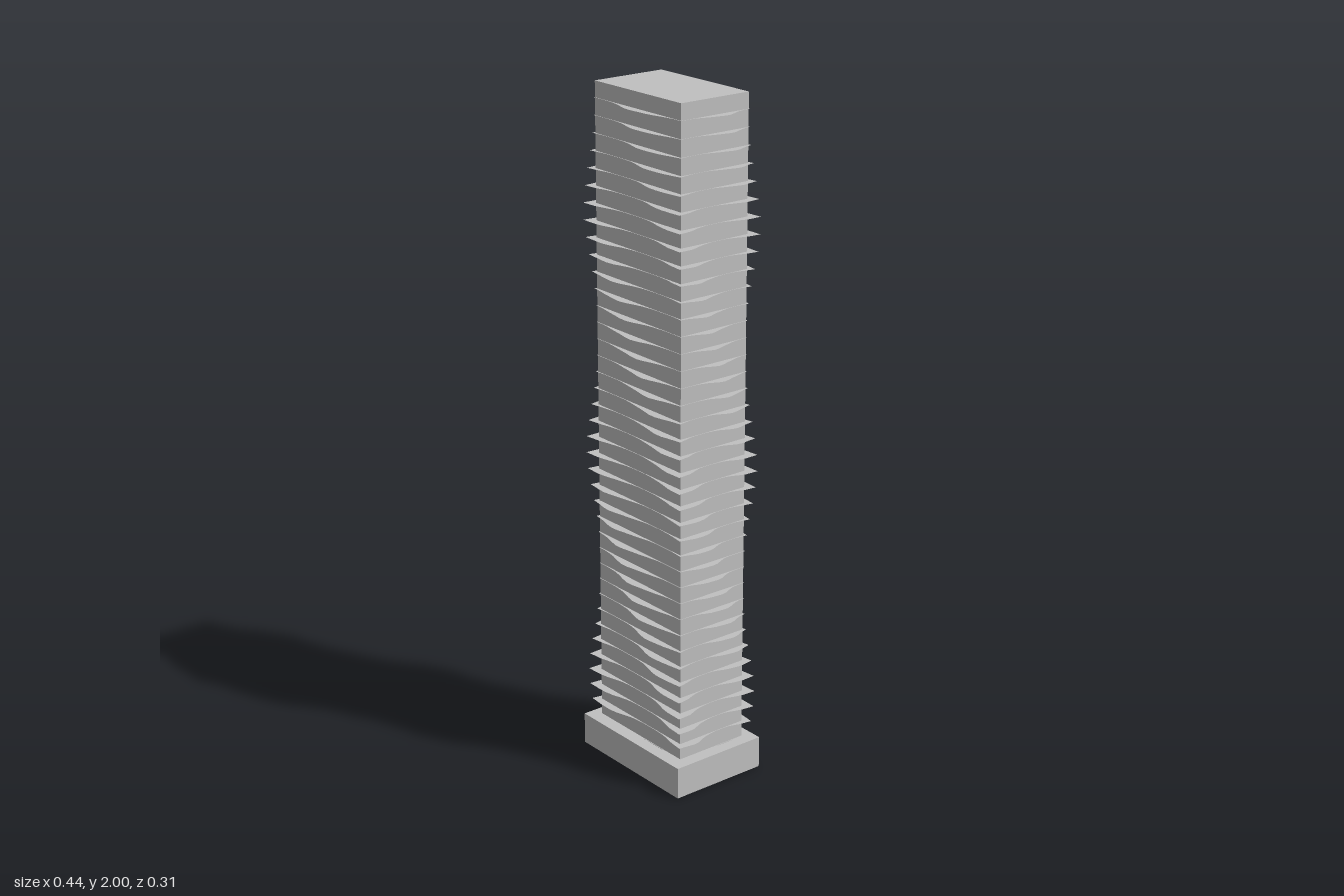
import * as THREE from 'three';

const BASE_H = 0.095, TOP = 2, FLOORS = 39;
const HX = 0.184, HZ = 0.115; // half width and half depth of the tower

// Box standing on y, without its underside
function openBox(w, h, d, y) {
  const g = new THREE.BoxGeometry(w, h, d);
  const index = Array.from(g.index.array).filter((_, i) => i < 18 || i > 23);
  g.setIndex(index);
  return g.translate(0, y + h / 2, 0);
}

// Balcony overhang at t (0..1, left to right along a face) for a floor height
function overhang(t, y, side) {
  const phase = (1.64 - y) / 0.7;
  const swell = 0.5 + 0.5 * Math.cos((t - phase) * Math.PI * 2);
  const ripple = Math.sin(Math.PI * t) * Math.sin(t * 17 + y * 23 + side * 2);
  return Math.max(0.0015, 0.002 + 0.024 * Math.pow(swell, 1.6) + 0.003 * ripple * swell);
}

// Flat floor plate whose wavy rim runs round all four faces
function balconyPlate(y) {
  const points = [], steps = 14;
  for (let side = 0; side < 4; side++) {
    const alongX = side % 2 === 0;
    const half = alongX ? HX : HZ, out = alongX ? HZ : HX;
    const a = side * Math.PI / 2, c = Math.round(Math.cos(a)), s = Math.round(Math.sin(a));
    for (let i = 0; i < steps; i++) {
      const t = i / steps, d = overhang(t, y, side);
      const u = -half + 2 * half * t - (i === 0 ? d : 0), v = out + d;
      // Turn the face (u to its right, v outward) about the y axis
      const x = u * c + v * s, z = -u * s + v * c;
      points.push(new THREE.Vector2(x, -z));
    }
  }
  return new THREE.ShapeGeometry(new THREE.Shape(points)).rotateX(-Math.PI / 2).translate(0, y, 0);
}

export function createModel() {
  const model = new THREE.Group();
  model.name = 'tower';
  const concrete = new THREE.MeshStandardMaterial({ color: 0xc0c0c0, side: THREE.DoubleSide });
  concrete.name = 'concrete grey';

  const add = (name, geometry, parent = model) => {
    const mesh = new THREE.Mesh(geometry, concrete);
    mesh.name = name;
    parent.add(mesh);
  };

  // Podium and shaft
  add('podium', openBox(0.44, BASE_H, 0.306, 0));
  add('shaft', openBox(HX * 2, TOP - BASE_H, HZ * 2, BASE_H));

  // One thin balcony plate per floor
  const balconies = new THREE.Group();
  balconies.name = 'balconies';
  model.add(balconies);
  const storey = (TOP - BASE_H) / FLOORS;
  for (let i = 0; i < FLOORS; i++) {
    add('balcony' + (i + 1), balconyPlate(BASE_H + i * storey + 0.003), balconies);
  }
  return model;
}
